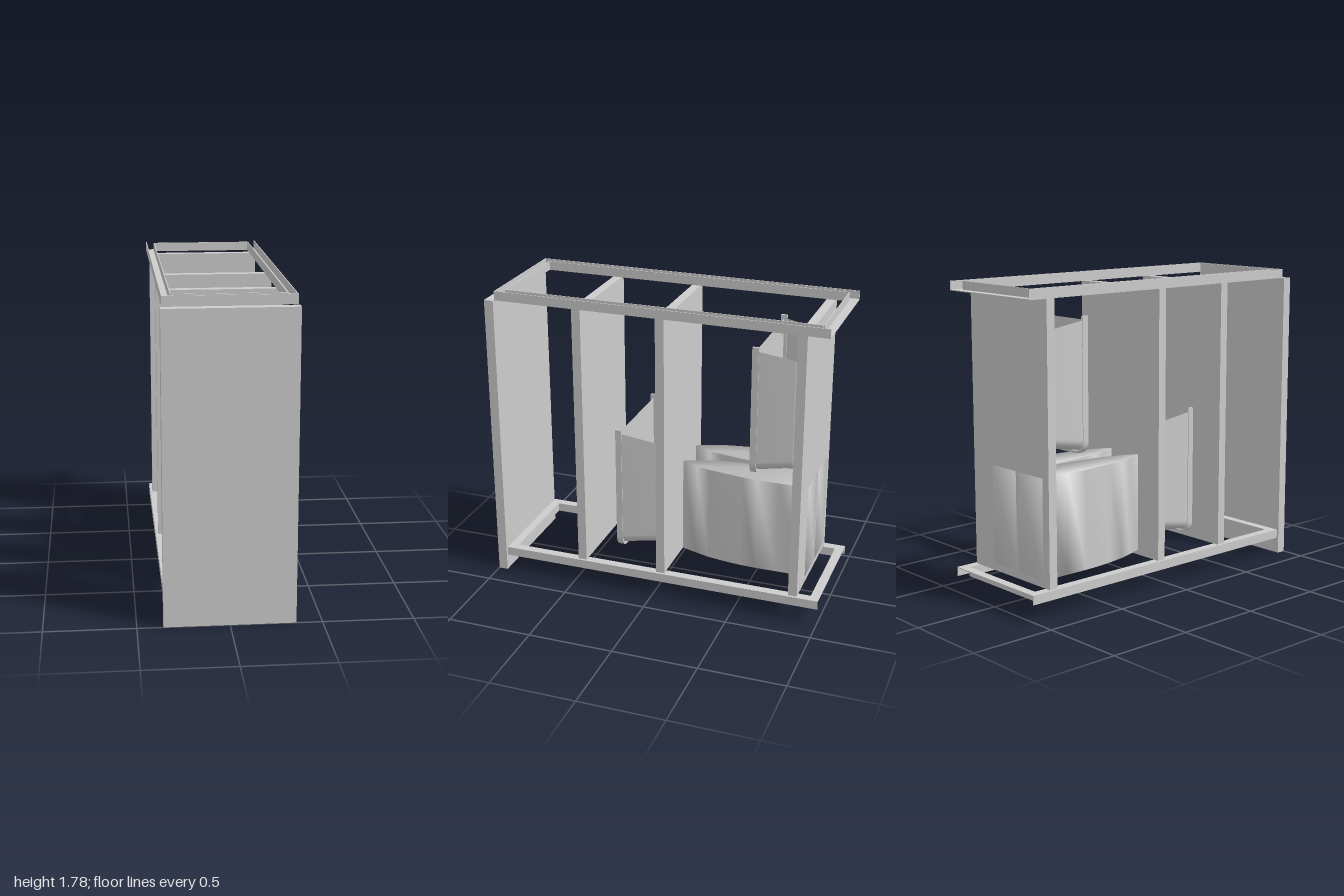
import * as THREE from 'three';
import { mergeVertices } from 'three/addons/utils/BufferGeometryUtils.js';

const grey = new THREE.MeshStandardMaterial({ color: 0xcccccc, side: THREE.DoubleSide });

function add(parent, name, geometry, x = 0, y = 0, z = 0) {
  const mesh = new THREE.Mesh(geometry, grey);
  mesh.name = name;
  mesh.position.set(x, y, z);
  parent.add(mesh);
  return mesh;
}

// Box given by its limits on each axis
function block(parent, name, [x0, x1], [y0, y1], [z0, z1]) {
  return add(parent, name, new THREE.BoxGeometry(x1 - x0, y1 - y0, z1 - z0),
    (x0 + x1) / 2, (y0 + y1) / 2, (z0 + z1) / 2);
}

// Rectangular frame of thin open channel; the web lies at y = 0, the walls rise from it
function channelFrame(name) {
  const frame = new THREE.Group();
  frame.name = name;
  const t = 0.005, h = 0.053, w = 0.35, n = 0.298, back = -1, front = 0.94;
  const inBack = back + 0.052, inFront = front - 0.052;
  const web = new THREE.Shape([[-w, -front], [w, -front], [w, -back], [-w, -back]]
    .map(p => new THREE.Vector2(...p)));
  web.holes.push(new THREE.Path([[-n, -inFront], [-n, -inBack], [n, -inBack], [n, -inFront]]
    .map(p => new THREE.Vector2(...p))));
  const webGeometry = new THREE.ExtrudeGeometry(web, { depth: t, bevelEnabled: false });
  add(frame, 'web', webGeometry.rotateX(-Math.PI / 2));
  for (const s of [-1, 1]) {
    const wall = new THREE.BoxGeometry(t, h, front - back);
    add(frame, 'outerWall', wall, s * (w - t / 2), h / 2, (front + back) / 2);
    const innerWall = new THREE.BoxGeometry(t, h, inFront - inBack);
    add(frame, 'innerWall', innerWall, s * (n + t / 2), h / 2, (inFront + inBack) / 2);
  }
  // The back end is left open on its outer side
  block(frame, 'frontOuterWall', [-w, w], [0, h], [front - t, front]);
  block(frame, 'frontInnerWall', [-n, n], [0, h], [inFront, inFront + t]);
  block(frame, 'backInnerWall', [-n, n], [0, h], [inBack - t, inBack]);
  return frame;
}

// U outline with rounded lower corners, from top left round to top right
function uOutline(w, top, bottom, r) {
  const pts = [new THREE.Vector2(-w, top)];
  for (const [cx, start] of [[-w + r, Math.PI], [w - r, 1.5 * Math.PI]]) {
    for (let i = 0; i <= 8; i++) {
      const a = start + (i / 8) * Math.PI / 2;
      pts.push(new THREE.Vector2(cx + r * Math.cos(a), bottom + r + r * Math.sin(a)));
    }
  }
  pts.push(new THREE.Vector2(w, top));
  return pts;
}

// Open sheet stretched between U outlines placed at different depths
function loft(sections) {
  const n = sections[0].pts.length, pos = [], index = [];
  sections.forEach(({ pts, z }) => pts.forEach(p => pos.push(p.x, p.y, z)));
  for (let s = 0; s < sections.length - 1; s++) {
    for (let i = 0; i < n - 1; i++) {
      const a = s * n + i, b = a + n;
      index.push(a, b, a + 1, a + 1, b, b + 1);
    }
  }
  const g = new THREE.BufferGeometry();
  g.setAttribute('position', new THREE.Float32BufferAttribute(pos, 3));
  g.setIndex(index);
  g.computeVertexNormals();
  return g;
}

// Flared bin, open on top, with a recessed front plate inside a raised lip
function bin(name, y, z) {
  const group = new THREE.Group();
  group.name = name;
  const lip = new THREE.Shape([
    ...uOutline(0.298, 0.76, 0, 0.07),
    ...uOutline(0.284, 0.76, 0.014, 0.056).reverse(),
  ]);
  add(group, 'lip', new THREE.ExtrudeGeometry(lip, { depth: 0.037, bevelEnabled: false }), 0, 0, -0.037);
  const plate = new THREE.Shape(uOutline(0.287, 0.74, 0.012, 0.06));
  add(group, 'frontPlate', new THREE.ShapeGeometry(plate), 0, 0, -0.02);
  const back = uOutline(0.25, 0.695, 0.07, 0.05);
  add(group, 'shell', loft([
    { pts: uOutline(0.294, 0.737, 0.022, 0.06), z: -0.037 },
    { pts: uOutline(0.275, 0.702, 0.052, 0.06), z: -0.235 },
    { pts: uOutline(0.268, 0.699, 0.058, 0.055), z: -0.248 },
    { pts: back, z: -0.253 },
  ]));
  add(group, 'backPlate', new THREE.ShapeGeometry(new THREE.Shape(back)), 0, 0, -0.253);
  group.position.set(0, y, z);
  return group;
}

// Upright pouch: pointed plan pulled straight down, softly shaded
function pouchGeometry() {
  const half = [[0.012, -0.095], [0.045, -0.19], [0.072, -0.275], [0.09, -0.38],
    [0.102, -0.48], [0.106, -0.57], [0.106, -0.7], [0.104, -0.877]];
  const plan = new THREE.Shape([
    ...half.map(([x, z]) => new THREE.Vector2(x, z)),
    ...half.map(([x, z]) => new THREE.Vector2(-x, z)).reverse(),
  ]);
  let g = new THREE.ExtrudeGeometry(plan, { depth: 0.57, bevelEnabled: false });
  g.deleteAttribute('normal');
  g.deleteAttribute('uv');
  g = mergeVertices(g, 1e-4);
  g.rotateX(Math.PI / 2);
  g.computeVertexNormals();
  return g;
}

export function createModel() {
  const model = new THREE.Group();
  model.name = 'pullOutUnit';

  // Front panel
  block(model, 'frontPanel', [-0.358, 0.358], [0, 1.725], [0.945, 1]);

  // Channels facing away from each other, above and below the dividers
  const topFrame = channelFrame('topFrame');
  topFrame.position.y = 1.727;
  const bottomFrame = channelFrame('bottomFrame');
  bottomFrame.scale.y = -1;
  bottomFrame.position.y = 0.15;
  model.add(topFrame, bottomFrame);

  // Upright dividers
  for (const z of [0.45, -0.045, -0.848]) {
    block(model, 'divider', [-0.335, 0.335], [0.15, 1.727], [z - 0.026, z + 0.026]);
  }

  // Bins hung on the dividers
  model.add(bin('lowerBin', 0.25, 0.24), bin('upperBin', 0.85, -0.563));

  // Pair of pouches at the back
  const pouch = pouchGeometry();
  for (const x of [-0.177, 0.056]) add(model, 'pouch', pouch, x, 0.76, 0);

  return model;
}
